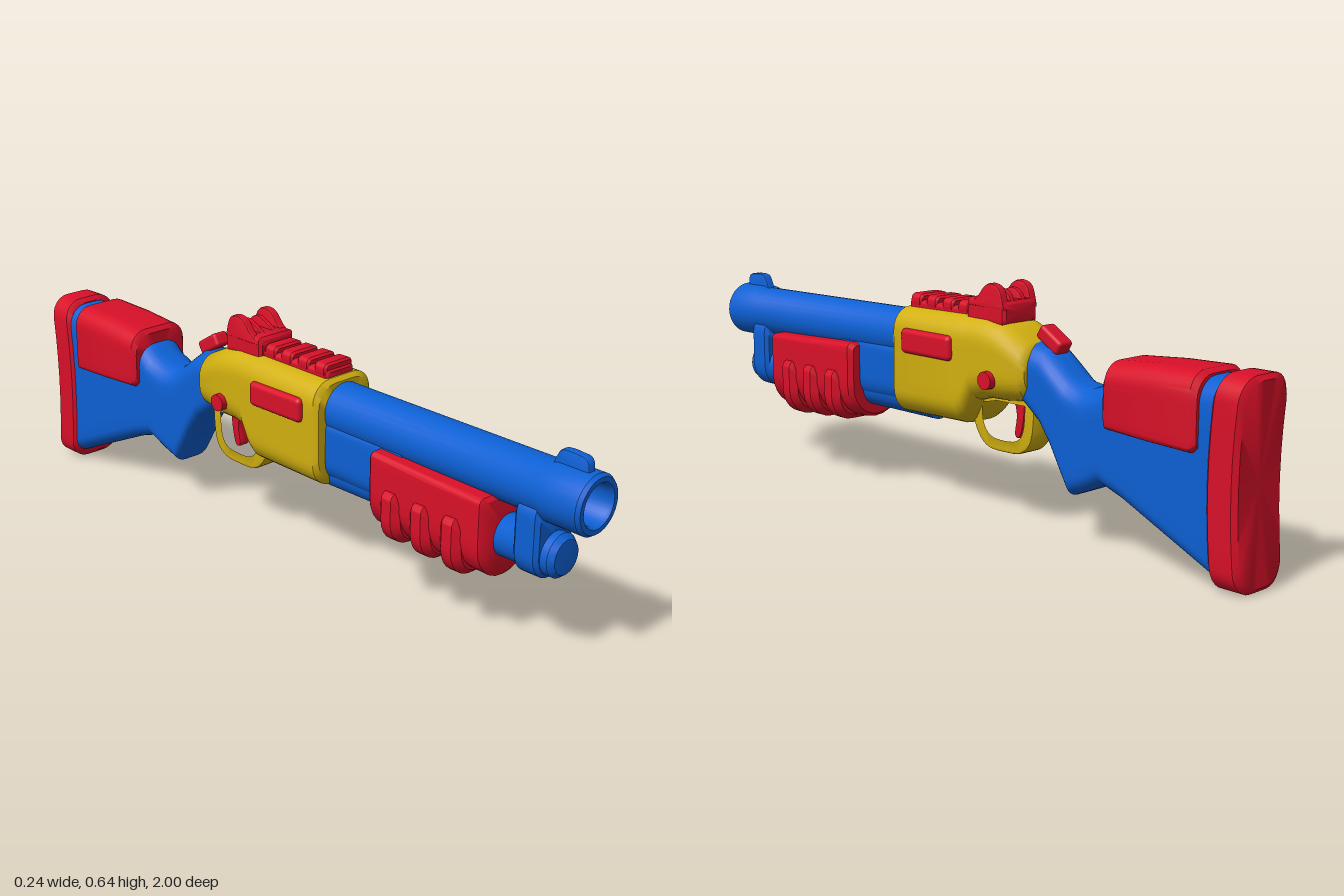
import * as THREE from 'three';
import { toCreasedNormals } from 'three/addons/utils/BufferGeometryUtils.js';
import { RoundedBoxGeometry } from 'three/addons/geometries/RoundedBoxGeometry.js';

const mat = (name, color) => Object.assign(new THREE.MeshStandardMaterial({ color }), { name });

// Rounded-rectangle outline, counter-clockwise seen from +z
function ring([z, hw, y0, y1], rTop, rBot) {
  const rt = Math.min(rTop, hw * 0.97, (y1 - y0) * 0.48);
  const rb = Math.min(rBot, hw * 0.97, (y1 - y0) * 0.48);
  const corners = [[1, y0 + rb, rb], [1, y1 - rt, rt], [-1, y1 - rt, rt], [-1, y0 + rb, rb]].map(([s, cy, r], k) => {
    const pts = [];
    for (let i = 0; i <= 6; i++) {
      const a = (k - 1 + i / 6) * Math.PI / 2;
      pts.push(new THREE.Vector3(s * (hw - r) + r * Math.cos(a), cy + r * Math.sin(a), z));
    }
    return pts;
  });
  const out = [];
  corners.forEach((pts, k) => {
    out.push(...pts);
    // extra points along the two upright sides
    if (k % 2 === 0) for (let i = 1; i < 6; i++) out.push(pts[6].clone().lerp(corners[k + 1][0], i / 6));
  });
  return out;
}

// Closed skin over sections [z, halfWidth, bottom, top], listed front to back
function loft(sections, rTop, rBot, bend) {
  const rings = sections.map((s) => ring(s, rTop, rBot));
  const n = rings[0].length, pos = [], idx = [];
  const add = (v) => pos.push(v.x, v.y, v.z + (bend ? bend(v.y, v.z) : 0));
  rings.flat().forEach(add);
  for (let i = 0; i < rings.length - 1; i++) {
    for (let j = 0; j < n; j++) {
      const a = i * n + j, b = i * n + (j + 1) % n;
      idx.push(a, a + n, b, b, a + n, b + n);
    }
  }
  [0, rings.length - 1].forEach((i, end) => {
    const [z, , y0, y1] = sections[i], c = pos.length / 3;
    add(new THREE.Vector3(0, (y0 + y1) / 2, z));
    for (let j = 0; j < n; j++) {
      const a = i * n + j, b = i * n + (j + 1) % n;
      idx.push(c, end ? b : a, end ? a : b);
    }
  });
  const g = new THREE.BufferGeometry();
  g.setAttribute('position', new THREE.Float32BufferAttribute(pos, 3));
  g.setIndex(idx);
  return toCreasedNormals(g, 0.7);
}

// Softened block: a loft with a small bevel at both ends
function block(z1, z0, hw, y0, y1, rTop, rBot, e = 0.01, bend) {
  return loft([[z1, hw - e, y0 + e, y1 - e], [z1 - e, hw, y0, y1],
    [z0 + e, hw, y0, y1], [z0, hw - e, y0 + e, y1 - e]], rTop, rBot, bend);
}

// Side profile (z, y) extruded across x
function sidePlate(shape, width, bevel = 0.006) {
  const g = new THREE.ExtrudeGeometry(shape, {
    depth: width - bevel * 2, bevelSize: bevel, bevelThickness: bevel, bevelSegments: 2, curveSegments: 16,
  });
  g.translate(0, 0, -(width - bevel * 2) / 2);
  g.rotateY(-Math.PI / 2);
  return toCreasedNormals(g, 0.7);
}

const smooth = (pts) => new THREE.SplineCurve(pts.map((p) => new THREE.Vector2(...p))).getPoints(28);

export function createModel() {
  const red = mat('red', 0xd81028), blue = mat('blue', 0x0d60d4), yellow = mat('yellow', 0xd2b010);
  const model = new THREE.Group();
  const put = (name, geo, material, x = 0, y = 0, z = 0) => {
    const m = new THREE.Mesh(geo, material);
    m.name = name;
    m.position.set(x, y, z);
    model.add(m);
    return m;
  };

  // Hollow barrel with thicker muzzle ring
  const barrelProfile = [[0, 0.1], [0.072, 0.1], [0.072, 0.87], [0.078, 0.885], [0.078, 0.99], [0.071, 1],
    [0.058, 1], [0.052, 0.99], [0.052, 0.86], [0, 0.86]].map((p) => new THREE.Vector2(...p));
  const barrel = put('barrel', toCreasedNormals(new THREE.LatheGeometry(barrelProfile, 32), 0.6), blue, 0, 0.46, 0);
  barrel.rotation.x = Math.PI / 2 + 0.014;
  put('frontSight', sidePlate(new THREE.Shape(smooth([[0.97, 0.5], [0.965, 0.545], [0.94, 0.553],
    [0.9, 0.553], [0.885, 0.535], [0.87, 0.5]])), 0.026), blue);

  // Magazine tube below the barrel
  const tubeProfile = [[0, 0.1], [0.056, 0.1], [0.056, 0.8], [0.063, 0.815], [0.063, 0.87], [0.057, 0.875],
    [0.057, 0.905], [0.045, 0.92], [0, 0.922]].map((p) => new THREE.Vector2(...p));
  const tube = put('magazineTube', toCreasedNormals(new THREE.LatheGeometry(tubeProfile, 28), 0.6), blue, 0, 0.288, 0);
  tube.rotation.x = Math.PI / 2;
  put('barrelBand', block(0.885, 0.81, 0.07, 0.222, 0.44, 0.05, 0.068), blue);
  put('tubeShroud', loft([[0.45, 0.066, 0.25, 0.44], [0.15, 0.07, 0.26, 0.44]], 0.03, 0.064), blue);

  // Sliding fore-end with finger ribs
  put('foreEnd', loft([[0.745, 0.09, 0.19, 0.395], [0.735, 0.102, 0.178, 0.405], [0.56, 0.104, 0.185, 0.412],
    [0.38, 0.102, 0.196, 0.42], [0.367, 0.09, 0.206, 0.412]], 0.015, 0.1), red);
  [0.65, 0.55, 0.45].forEach((z, i) => {
    const lift = i * 0.008;
    put('foreEndRib', loft([[z + 0.034, 0.1, 0.185 + lift, 0.32], [z + 0.016, 0.118, 0.17 + lift, 0.335],
      [z - 0.016, 0.118, 0.17 + lift, 0.335], [z - 0.034, 0.1, 0.185 + lift, 0.32]], 0.02, 0.11), red);
  });

  // Receiver body
  put('receiver', loft([[0.186, 0.094, 0.262, 0.535], [0.174, 0.104, 0.25, 0.546], [-0.065, 0.104, 0.255, 0.55],
    [-0.085, 0.102, 0.27, 0.55], [-0.115, 0.1, 0.325, 0.55], [-0.15, 0.1, 0.335, 0.55], [-0.21, 0.099, 0.337, 0.54],
    [-0.29, 0.092, 0.345, 0.502], [-0.303, 0.08, 0.36, 0.485]], 0.06, 0.07), yellow);
  put('sidePanels', new RoundedBoxGeometry(0.236, 0.068, 0.195, 3, 0.014), red, 0, 0.462, 0.038);
  const pin = new THREE.CylinderGeometry(0.024, 0.024, 0.23, 14);
  put('crossPin', toCreasedNormals(pin, 0.7), red, 0, 0.397, -0.192).rotation.z = Math.PI / 2;

  // Trigger guard and trigger
  const guard = new THREE.Shape(smooth([[-0.07, 0.32], [-0.085, 0.25], [-0.125, 0.206], [-0.19, 0.2],
    [-0.25, 0.208], [-0.284, 0.25], [-0.293, 0.36]]));
  guard.holes.push(new THREE.Path(smooth([[-0.105, 0.33], [-0.112, 0.265], [-0.14, 0.232], [-0.19, 0.226],
    [-0.238, 0.234], [-0.26, 0.265], [-0.266, 0.33]])));
  put('triggerGuard', sidePlate(guard, 0.075), yellow);
  put('trigger', sidePlate(new THREE.Shape(smooth([[-0.2, 0.36], [-0.218, 0.3], [-0.212, 0.245], [-0.226, 0.245],
    [-0.238, 0.3], [-0.24, 0.36]])), 0.035, 0.004), red);

  // Top rail with raised teeth
  put('rail', block(0.17, -0.09, 0.05, 0.535, 0.566, 0.012, 0.005, 0.006), red);
  [0.143, 0.08, 0.017, -0.045].forEach((z) => {
    put('railTooth', block(z + 0.022, z - 0.022, 0.051, 0.55, 0.583, 0.018, 0.005, 0.006), red);
  });

  // Rear sight: base with four upright prongs
  put('rearSightBase', block(-0.07, -0.212, 0.062, 0.535, 0.598, 0.012, 0.008, 0.008), red);
  const prong = (h) => new THREE.Shape(smooth([[-0.085, 0.58], [-0.115, 0.6], [-0.14, h - 0.008], [-0.165, h],
    [-0.19, h - 0.012], [-0.204, 0.58]]));
  for (const s of [-1, 1]) {
    put('rearSightWing', sidePlate(prong(0.636), 0.024), red, s * 0.051);
    put('rearSightPost', sidePlate(prong(0.622), 0.015, 0.004), red, s * 0.02);
  }
  put('safetySwitch', new RoundedBoxGeometry(0.05, 0.04, 0.085, 3, 0.01), red, 0, 0.51, -0.332).rotation.x = -0.55;

  // Shoulder stock with grip
  put('stock', loft([[-0.26, 0.068, 0.35, 0.505], [-0.34, 0.07, 0.29, 0.492], [-0.38, 0.07, 0.235, 0.462],
    [-0.42, 0.07, 0.165, 0.43], [-0.442, 0.07, 0.128, 0.418], [-0.49, 0.074, 0.148, 0.41], [-0.55, 0.078, 0.178, 0.43],
    [-0.62, 0.08, 0.155, 0.485], [-0.92, 0.082, 0.02, 0.5]], 0.06, 0.045), blue);
  put('cheekRest', loft([[-0.578, 0.088, 0.345, 0.485], [-0.59, 0.098, 0.332, 0.498], [-0.72, 0.1, 0.325, 0.508],
    [-0.852, 0.1, 0.32, 0.512], [-0.866, 0.09, 0.332, 0.502]], 0.055, 0.015), red);

  // Butt pad with a hollowed back
  const hollow = (y) => 0.018 * Math.max(0, 1 - ((y - 0.26) / 0.255) ** 2);
  put('buttPad', block(-0.91, -1, 0.09, 0, 0.514, 0.06, 0.06, 0.012, hollow), red);

  return model;
}
